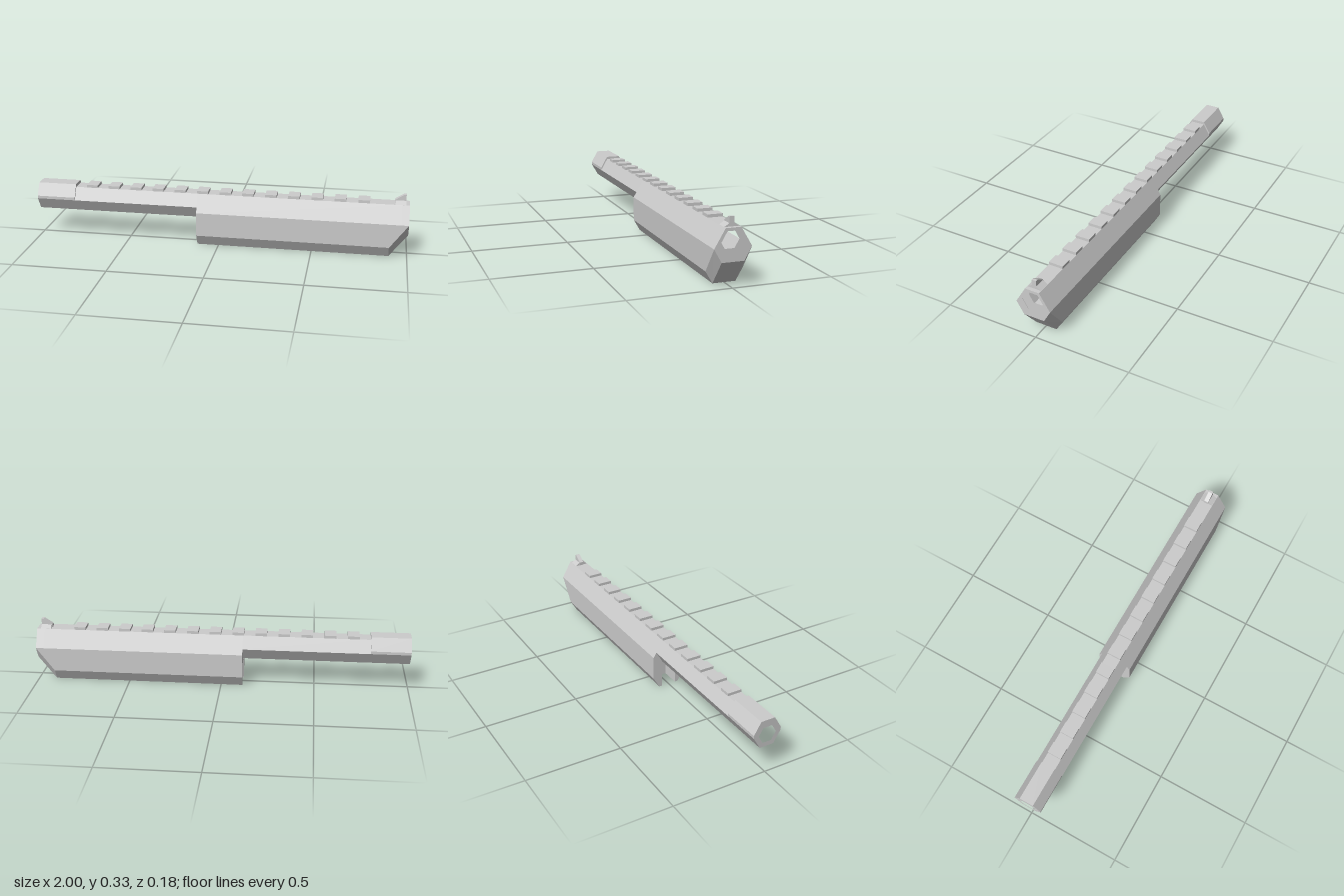
import * as THREE from 'three';

const BORE_Y = 0.215, REAR = -0.115, SLOT_END = -0.015;

export function createModel() {
  const model = new THREE.Group();
  const material = new THREE.MeshStandardMaterial({ color: 0xcccccc, flatShading: true });

  const add = (name, geometry, parent = model) => {
    const mesh = new THREE.Mesh(geometry, material);
    mesh.name = name;
    parent.add(mesh);
    return mesh;
  };

  const toPoints = (list) => list.map(([z, y]) => new THREE.Vector2(-z, y));

  // Mirror a half profile of [z, y] corners about z = 0
  const mirrored = (half) => [...half, ...half.map(([z, y]) => [-z, y]).reverse()];

  const hexagon = (r) => Array.from({ length: 6 }, (_, i) => {
    const a = i * Math.PI / 3;
    return [r * Math.cos(a), BORE_Y + r * Math.sin(a)];
  });

  // Extrude a [z, y] profile along x, with an optional hexagonal bore
  const prism = (profile, x0, x1, boreRadius = 0) => {
    const shape = new THREE.Shape(toPoints(profile));
    if (boreRadius) shape.holes.push(new THREE.Path(toPoints(hexagon(boreRadius))));
    const geo = new THREE.ExtrudeGeometry(shape, { depth: x1 - x0, bevelEnabled: false });
    return geo.rotateY(Math.PI / 2).translate(x0, 0, 0);
  };

  // Slope the front end back towards its lower corners
  const rakeFront = (geo) => {
    const p = geo.attributes.position;
    for (let i = 0; i < p.count; i++) {
      if (p.getX(i) > 0.99 && p.getY(i) < 0.1) p.setX(i, 0.905);
    }
    geo.computeVertexNormals();
    return geo;
  };

  // Barrel: taller rear collar, then a plain hexagonal tube
  const collar = mirrored([[0.038, 0.15], [0.0755, 0.215], [0.0755, 0.23], [0.038, 0.295]]);
  add('rearCollar', prism(collar, -1, -0.79, 0.048));
  add('barrel', prism(hexagon(0.0755), -0.79, REAR, 0.048));

  // Front housing around the bore, with a stepped muzzle
  const housing = mirrored([[0.055, 0.122], [0.092, 0.188], [0.038, 0.28]]);
  add('housing', prism(housing, REAR, 0.96, 0.048));
  add('muzzle', prism(housing, 0.96, 1, 0.058));

  // Deep lower body: two cheeks and a belly, open at the rear as a slot
  for (const s of [1, -1]) {
    const side = s > 0 ? 'left' : 'right';
    const cheek = [[0.055, 0.122], [0.057, 0], [0.092, 0.06], [0.092, 0.188]].map(([z, y]) => [s * z, y]);
    add(side + 'Cheek', rakeFront(prism(cheek, REAR, 1)));
    const wall = [[0.04, 0], [0.057, 0], [0.055, 0.122], [0.04, 0.122]].map(([z, y]) => [s * z, y]);
    add(side + 'SlotWall', prism(wall, REAR, SLOT_END));
  }
  add('belly', rakeFront(prism(mirrored([[0.057, 0], [0.055, 0.122]]), SLOT_END, 1)));

  // Top rail teeth
  const rail = new THREE.Group();
  rail.name = 'rail';
  model.add(rail);
  for (let i = 0; i < 13; i++) {
    const tooth = add('railTooth', new THREE.BoxGeometry(0.061, 0.017, 0.076), rail);
    tooth.position.set(-0.699 + i * 0.122, 0.2865, 0);
  }

  // Front sight: flared foot and wedge-shaped blade
  add('sightFoot', prism(mirrored([[0.038, 0.279], [0.012, 0.296]]), 0.925, 0.98));
  const blade = new THREE.Shape([[0.922, 0.28], [0.98, 0.28], [0.98, 0.327], [0.968, 0.327], [0.922, 0.298]]
    .map(([x, y]) => new THREE.Vector2(x, y)));
  add('sightBlade', new THREE.ExtrudeGeometry(blade, { depth: 0.024, bevelEnabled: false }).translate(0, 0, -0.012));

  return model;
}
